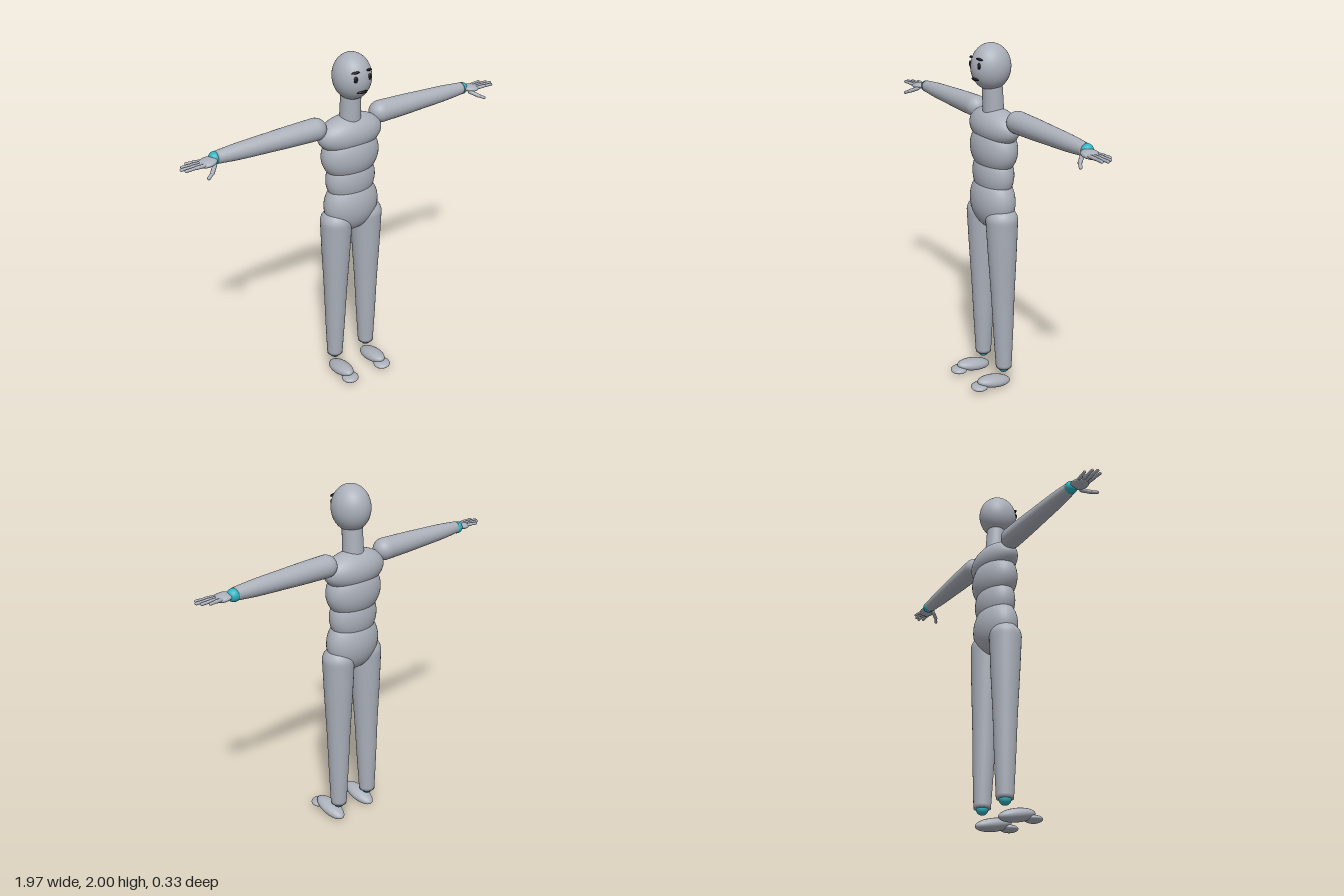
import * as THREE from 'three';

const skin = new THREE.MeshStandardMaterial({ color: 0xabb0ba });
skin.name = 'matte grey';
const joint = new THREE.MeshStandardMaterial({ color: 0x30b4c4 });
joint.name = 'teal joint';
const dark = new THREE.MeshStandardMaterial({ color: 0x17181c });
dark.name = 'dark feature';

export function createModel() {
  const model = new THREE.Group();
  model.name = 'mannequin';

  const add = (name, geometry, material, pos = [0, 0, 0]) => {
    const mesh = new THREE.Mesh(geometry, material);
    mesh.name = name;
    mesh.position.set(...pos);
    model.add(mesh);
    return mesh;
  };

  // Ellipsoid with the given centre and radii
  const ball = (name, pos, radii, material = skin) =>
    add(name, new THREE.SphereGeometry(1, 40, 28).scale(...radii), material, pos);

  // Capsule running from point a to point b
  const bone = (name, a, b, r) => {
    const p = new THREE.Vector3(...a), q = new THREE.Vector3(...b);
    const dir = q.clone().sub(p);
    const mesh = add(name, new THREE.CapsuleGeometry(r, dir.length(), 5, 12), skin,
      p.clone().add(q).multiplyScalar(0.5).toArray());
    mesh.quaternion.setFromUnitVectors(new THREE.Vector3(0, 1, 0), dir.normalize());
    return mesh;
  };

  // Turned limb: smooth profile of [radius, height], with closed ends
  const limb = (profile, capHeight, top) => {
    const curve = new THREE.SplineCurve(profile.map(p => new THREE.Vector2(...p)));
    const points = [new THREE.Vector2(0, profile[0][1]), ...curve.getPoints(30)];
    const [r, y] = profile[profile.length - 1];
    for (let i = 1; i <= 10; i++) {
      const a = (i / 10) * Math.PI / 2;
      points.push(new THREE.Vector2(i === 10 ? 0 : r * Math.cos(a), y + capHeight * Math.sin(a)));
    }
    return new THREE.LatheGeometry(points, 32);
  };

  // Head and neck
  ball('head', [0, 1.875, -0.03], [0.102, 0.125, 0.111]);
  const neck = add('neck', new THREE.CylinderGeometry(0.054, 0.059, 0.2, 32), skin, [0, 1.705, -0.043]);
  neck.rotation.x = 0.05;

  // Face
  ball('mouth', [0, 1.817, 0.066], [0.031, 0.009, 0.012], dark);
  for (const s of [-1, 1]) {
    ball('eye', [s * 0.042, 1.892, 0.069], [0.012, 0.017, 0.007], dark);
    const brow = ball('eyebrow', [s * 0.042, 1.928, 0.066], [0.022, 0.006, 0.008], dark);
    brow.rotation.set(0, s * 0.35, -s * 0.12);
  }

  // Torso made of stacked rounded segments
  ball('shoulders', [0, 1.55, -0.053], [0.195, 0.105, 0.104]);
  ball('chest', [0, 1.43, -0.05], [0.174, 0.15, 0.11]);
  ball('abdomen', [0, 1.285, -0.047], [0.15, 0.15, 0.098]);
  ball('pelvis', [0, 1.13, -0.043], [0.166, 0.165, 0.108]);

  for (const s of [-1, 1]) {
    // Arm, turned along x with the rounded end at the shoulder
    const armGeo = limb([[0.033, 0], [0.044, 0.13], [0.051, 0.29], [0.056, 0.4], [0.061, 0.57]], 0.065);
    armGeo.rotateZ(s * Math.PI / 2);
    add('arm', armGeo, skin, [s * 0.78, 1.612, -0.066]);

    // Wrist and palm
    ball('wrist', [s * 0.785, 1.61, -0.069], [0.034, 0.034, 0.034], joint);
    const palm = ball('palm', [s * 0.836, 1.607, -0.052], [0.052, 0.019, 0.046]);
    palm.rotation.z = -s * 0.12;

    // Fingers: root z, tip z, tip x
    for (const [z0, z1, tip] of [[-0.077, -0.09, 0.93], [-0.06, -0.066, 0.963],
      [-0.042, -0.042, 0.977], [-0.024, -0.017, 0.963]]) {
      const mid = [s * (0.86 + (tip - 0.86) * 0.5), 1.61, (z0 + z1) / 2];
      bone('fingerBase', [s * 0.85, 1.608, z0], mid, 0.0095);
      bone('fingerTip', mid, [s * tip, 1.61, z1], 0.008);
    }

    // Thumb
    bone('thumbBase', [s * 0.81, 1.597, -0.022], [s * 0.845, 1.578, 0.016], 0.011);
    bone('thumbTip', [s * 0.845, 1.578, 0.016], [s * 0.872, 1.566, 0.032], 0.009);

    // Leg, drifting outward and back towards the ankle
    const legGeo = limb([[0.046, 0.12], [0.057, 0.34], [0.067, 0.58], [0.08, 0.82], [0.09, 1.04]], 0.08);
    const v = legGeo.attributes.position;
    for (let i = 0; i < v.count; i++) {
      const t = 1 - Math.min(v.getY(i), 1.04) / 1.04;
      v.setX(i, v.getX(i) + s * 0.014 * t);
      v.setZ(i, v.getZ(i) - 0.014 * t);
    }
    add('leg', legGeo, skin, [s * 0.1, 0, -0.04]);

    // Ankle, foot and toe
    ball('ankle', [s * 0.113, 0.119, -0.052], [0.033, 0.033, 0.033], joint);
    const foot = ball('foot', [s * 0.115, 0.046, 0.018], [0.052, 0.036, 0.11]);
    foot.rotation.x = -0.2;
    ball('toe', [s * 0.116, 0.038, 0.117], [0.05, 0.02, 0.049]);
  }

  return model;
}
